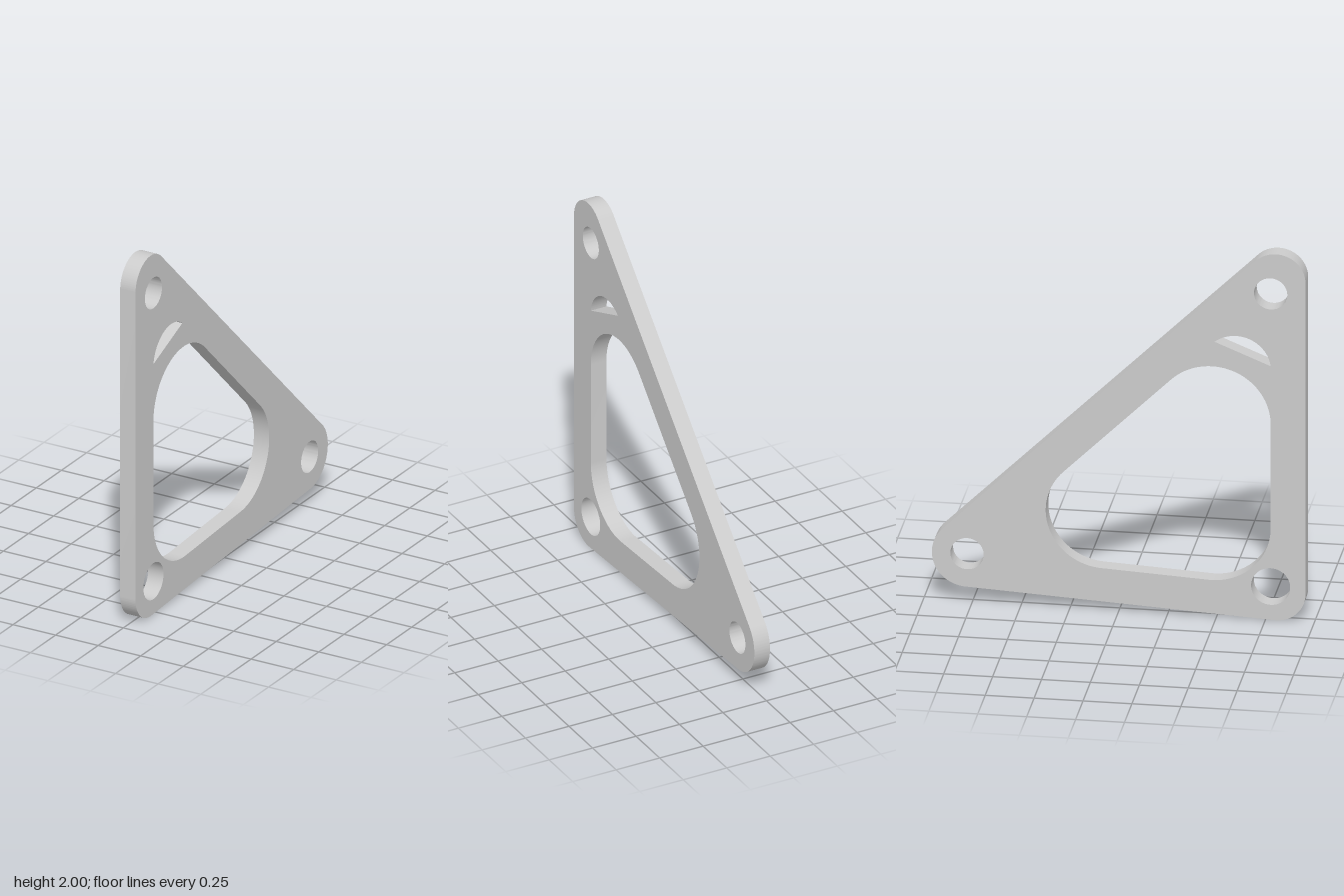
import * as THREE from 'three';
import { toCreasedNormals } from 'three/addons/utils/BufferGeometryUtils.js';

const THICKNESS = 0.09;

// Traces a belt pulled tight round circles [u, y, radius], listed anticlockwise.
function traceBelt(path, circles) {
  const n = circles.length;
  // direction of the outward normal on the straight run from circle i to the next
  const normals = circles.map(([u, y, r], i) => {
    const [u2, y2, r2] = circles[(i + 1) % n];
    const du = u2 - u, dy = y2 - y;
    return Math.atan2(dy, du) - Math.acos((r - r2) / Math.hypot(du, dy));
  });
  circles.forEach(([u, y, r], i) => {
    const start = normals[(i + n - 1) % n];
    let end = normals[i];
    while (end < start) end += Math.PI * 2;
    while (end - start > Math.PI * 2) end -= Math.PI * 2;
    path.absarc(u, y, r, start, end, false);
  });
  path.closePath();
  return path;
}

export function createModel() {
  const group = new THREE.Group();
  group.name = 'triangularBracket';

  // Outline with rounded corners; u runs towards the back (-z)
  const outline = traceBelt(new THREE.Shape(), [
    [-0.805, 0.15, 0.15],
    [0.775, 0.267, 0.18],
    [-0.805, 1.85, 0.15],
  ]);

  // Large rounded window
  outline.holes.push(traceBelt(new THREE.Path(), [
    [-0.477, 0.5, 0.3],
    [0.073, 0.53, 0.3],
    [-0.477, 1.068, 0.3],
  ]));

  // Bolt holes
  for (const [u, y, r] of [[-0.777, 1.782, 0.085], [-0.777, 0.183, 0.1], [0.775, 0.267, 0.085]]) {
    outline.holes.push(new THREE.Path().absarc(u, y, r, 0, Math.PI * 2, false));
  }

  // Half-moon slot: an arc closed by its slanting chord
  const cu = -0.6, cy = 1.362;
  const slot = new THREE.Path();
  slot.absarc(cu, cy, 0.179,
    Math.atan2(1.504 - cy, -0.489 - cu), Math.atan2(1.387 - cy, -0.777 - cu), false);
  slot.closePath();
  outline.holes.push(slot);

  // Flat plate standing in the y-z plane
  const geometry = new THREE.ExtrudeGeometry(outline, {
    depth: THICKNESS, bevelEnabled: false, curveSegments: 32,
  });
  geometry.translate(0, 0, -THICKNESS / 2);
  geometry.rotateY(Math.PI / 2);

  const plate = new THREE.Mesh(
    toCreasedNormals(geometry, Math.PI / 6),
    new THREE.MeshStandardMaterial({ color: 0xcccccc }),
  );
  plate.name = 'plate';
  group.add(plate);
  return group;
}
